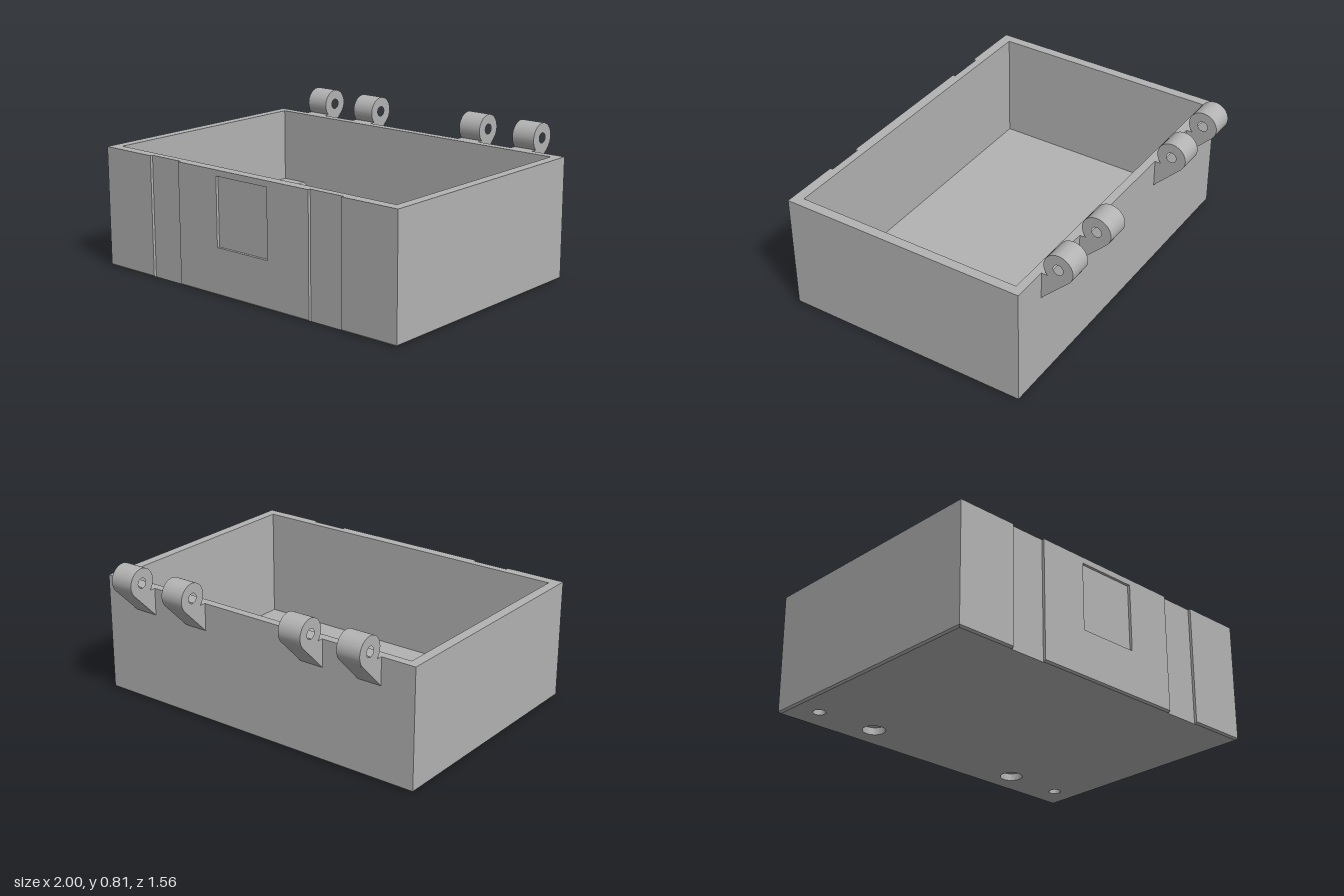
import * as THREE from 'three';
import { toCreasedNormals } from 'three/addons/utils/BufferGeometryUtils.js';

const W = 1, BACK = -0.607, FACE = 0.768, FRONT = 0.783, TOP = 0.668; // outer shell
const IN_X = 0.945, IN_BACK = -0.56, IN_FRONT = 0.725, FLOOR = 0.05;  // cavity
const CHAMFER = 0.01;

// Closed rectangle in shape space
function rect(x0, y0, x1, y1, Kind = THREE.Shape) {
  return new Kind([[x0, y0], [x1, y0], [x1, y1], [x0, y1]].map(p => new THREE.Vector2(...p)));
}

function circle(x, y, r) {
  return new THREE.Path().absarc(x, y, r, 0, Math.PI * 2, true);
}

function extrude(shape, depth) {
  return new THREE.ExtrudeGeometry(shape, { depth, bevelEnabled: false, curveSegments: 24 });
}

// Plan shape (x, -z) raised from y0 to y1
function rise(shape, y0, y1) {
  return extrude(shape, y1 - y0).rotateX(-Math.PI / 2).translate(0, y0, 0);
}

// Side profile (z, y) running from x0 to x1
function across(shape, x0, x1) {
  return extrude(shape, x1 - x0).rotateY(-Math.PI / 2).translate(x1, 0, 0);
}

// Move every vertex by a rule
function reshape(geo, rule) {
  const p = geo.attributes.position, v = new THREE.Vector3();
  for (let i = 0; i < p.count; i++) {
    rule(v.fromBufferAttribute(p, i));
    p.setXYZ(i, v.x, v.y, v.z);
  }
  const out = geo.index ? geo.toNonIndexed() : geo;
  out.computeVertexNormals();
  return out;
}

export function createModel() {
  const model = new THREE.Group();
  model.name = 'hingedBoxBase';
  const grey = new THREE.MeshStandardMaterial({ color: 0xb3b3b3 });
  grey.name = 'grey';
  const add = (name, geo) => {
    const mesh = new THREE.Mesh(toCreasedNormals(geo, 0.5), grey);
    mesh.name = name;
    model.add(mesh);
  };

  // Four walls around the cavity
  const walls = rect(-W, -FACE, W, -BACK);
  walls.holes.push(rect(-IN_X, -IN_FRONT, IN_X, -IN_BACK, THREE.Path));
  add('walls', rise(walls, CHAMFER, TOP));

  // Floor layers with two large and two small blind holes underneath
  const drill = shape => {
    for (const s of [-1, 1]) {
      shape.holes.push(circle(s * 0.855, 0.45, 0.034), circle(s * 0.5, 0.445, 0.062));
    }
    return shape;
  };
  add('chamferedBase', reshape(rise(drill(rect(-W, -FACE, W, -BACK)), 0, CHAMFER), v => {
    if (v.y > CHAMFER / 2) return;
    if (Math.abs(v.x) > 0.99) v.x -= Math.sign(v.x) * CHAMFER;
    if (v.z < BACK + 0.001) v.z += CHAMFER;
  }));
  add('drilledFloor', rise(drill(rect(-IN_X, -IN_FRONT, IN_X, -IN_BACK)), CHAMFER, 0.04));
  add('floor', rise(rect(-IN_X, -IN_FRONT, IN_X, -IN_BACK), 0.04, FLOOR));

  // Raised front panels leave two vertical grooves; the middle one has a square recess
  for (const [x0, x1] of [[-W, -0.66], [-0.45, 0.45], [0.66, W]]) {
    const panel = rect(x0, CHAMFER, x1, TOP);
    if (x0 === -0.45) panel.holes.push(rect(-0.175, 0.26, 0.175, 0.635, THREE.Path));
    add('frontPanel', extrude(panel, FRONT - FACE).translate(0, 0, FACE));
    const lip = new THREE.Shape([[FACE, 0], [FRONT - CHAMFER, 0], [FRONT, CHAMFER], [FACE, CHAMFER]]
      .map(p => new THREE.Vector2(...p)));
    add('frontPanelChamfer', reshape(across(lip, x0, x1), v => {
      if (v.y < CHAMFER / 2 && Math.abs(v.x) > 0.99) v.x -= Math.sign(v.x) * CHAMFER;
    }));
  }

  // Corner posts with bevelled tops
  for (const s of [-1, 1]) {
    const inner = 0.753, front = -0.36, shoulder = 0.21, top = 0.25;
    const plan = rect(Math.min(s * inner, s * IN_X), -front, Math.max(s * inner, s * IN_X), -IN_BACK);
    add('cornerPost', rise(plan, FLOOR, shoulder));
    add('cornerPostTop', reshape(rise(plan, shoulder, top), v => {
      if (v.y < top - 0.001) return;
      if (s * v.x < 0.8) v.x += s * 0.038;
      if (v.z > front - 0.01) v.z -= 0.04;
    }));
  }

  // Hinge knuckles on the back wall
  const knuckle = new THREE.Shape();
  knuckle.moveTo(BACK, 0.516);
  knuckle.lineTo(-0.758, 0.667);
  knuckle.absarc(-0.7, 0.725, 0.082, Math.PI * 1.25, -0.77, true);
  knuckle.lineTo(BACK, TOP);
  knuckle.closePath();
  knuckle.holes.push(circle(-0.7, 0.725, 0.028));
  for (const [x0, x1] of [[-0.803, -0.667], [-0.451, -0.315], [0.31, 0.446], [0.662, 0.798]]) {
    add('hingeKnuckle', across(knuckle, x0, x1));
  }
  return model;
}
